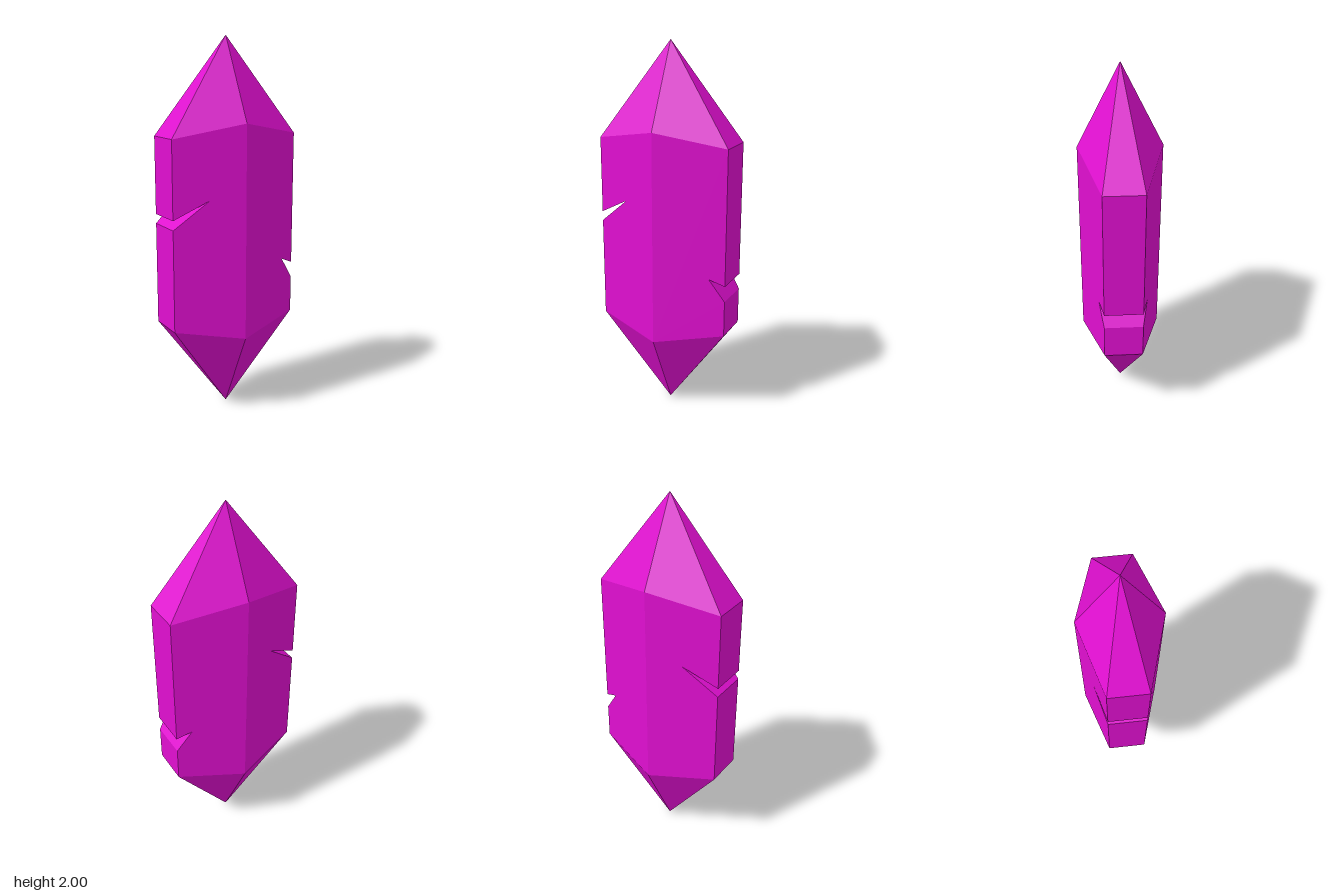
import * as THREE from 'three';

const HALF_W = 0.36, EDGE_Z = 0.102, RIDGE_Z = 0.213;
const TOP_RIDGE = 1.57, TOP_EDGE = 1.5, LOW_RIDGE = 0.44, LOW_EDGE = 0.505;

// thickness of the six-sided section at a given x
const depthAt = (x) => RIDGE_Z - (RIDGE_Z - EDGE_Z) * Math.abs(x) / HALF_W;

// flat-faced geometry from loose triangles
function facets(points) {
  const geometry = new THREE.BufferGeometry().setFromPoints(points);
  geometry.computeVertexNormals();
  return geometry;
}

// one half of the shaft; side is +1 or -1, notch lists [x, y] from top to bottom
function shaftHalf(side, notch) {
  const edge = [[HALF_W, TOP_EDGE], ...notch, [HALF_W, LOW_EDGE]];
  const outline = [[0, TOP_RIDGE], ...edge, [0, LOW_RIDGE]].map(([x, y]) => new THREE.Vector2(x, y));
  const at = (p, f) => new THREE.Vector3(side * p.x, p.y, f * depthAt(p.x));
  const out = [];
  const add = (a, b, c, flip) => out.push(...(flip ? [a, c, b] : [a, b, c]));

  // front and back facets
  for (const [i, j, k] of THREE.ShapeUtils.triangulateShape(outline, [])) {
    const [a, b, c] = [outline[i], outline[j], outline[k]];
    const ccw = THREE.ShapeUtils.area([a, b, c]) > 0;
    for (const f of [1, -1]) add(at(a, f), at(b, f), at(c, f), ccw !== (side * f > 0));
  }
  // narrow side and notch walls
  for (let i = 1; i < outline.length - 2; i++) {
    const a = outline[i], b = outline[i + 1];
    add(at(a, 1), at(b, 1), at(b, -1), side < 0);
    add(at(a, 1), at(b, -1), at(a, -1), side < 0);
  }
  return facets(out);
}

// six-sided point at the top or bottom
function point(apexY, ridgeY, edgeY) {
  const apex = new THREE.Vector3(0, apexY, 0);
  const ring = [[0, 1], [1, 1], [1, -1], [0, -1], [-1, -1], [-1, 1]].map(([s, f]) =>
    new THREE.Vector3(s * HALF_W, s ? edgeY : ridgeY, f * depthAt(s * HALF_W)));
  const out = [];
  ring.forEach((p, i) => {
    const q = ring[(i + 1) % 6];
    out.push(...(apexY > ridgeY ? [apex, p, q] : [apex, q, p]));
  });
  return facets(out);
}

export function createModel() {
  const crystal = new THREE.Group();
  crystal.name = 'crystal';
  const magenta = new THREE.MeshStandardMaterial({ color: 0xe00fd0 });
  magenta.name = 'magenta crystal';

  const add = (name, geometry) => {
    const mesh = new THREE.Mesh(geometry, magenta);
    mesh.name = name;
    crystal.add(mesh);
  };
  add('leftShaft', shaftHalf(1, [[HALF_W, 0.785], [0.28, 0.82], [HALF_W, 0.7]]));
  add('rightShaft', shaftHalf(-1, [[HALF_W, 1.095], [0.18, 1.19], [HALF_W, 1.045]]));
  add('topPoint', point(2, TOP_RIDGE, TOP_EDGE));
  add('bottomPoint', point(0, LOW_RIDGE, LOW_EDGE));
  return crystal;
}
